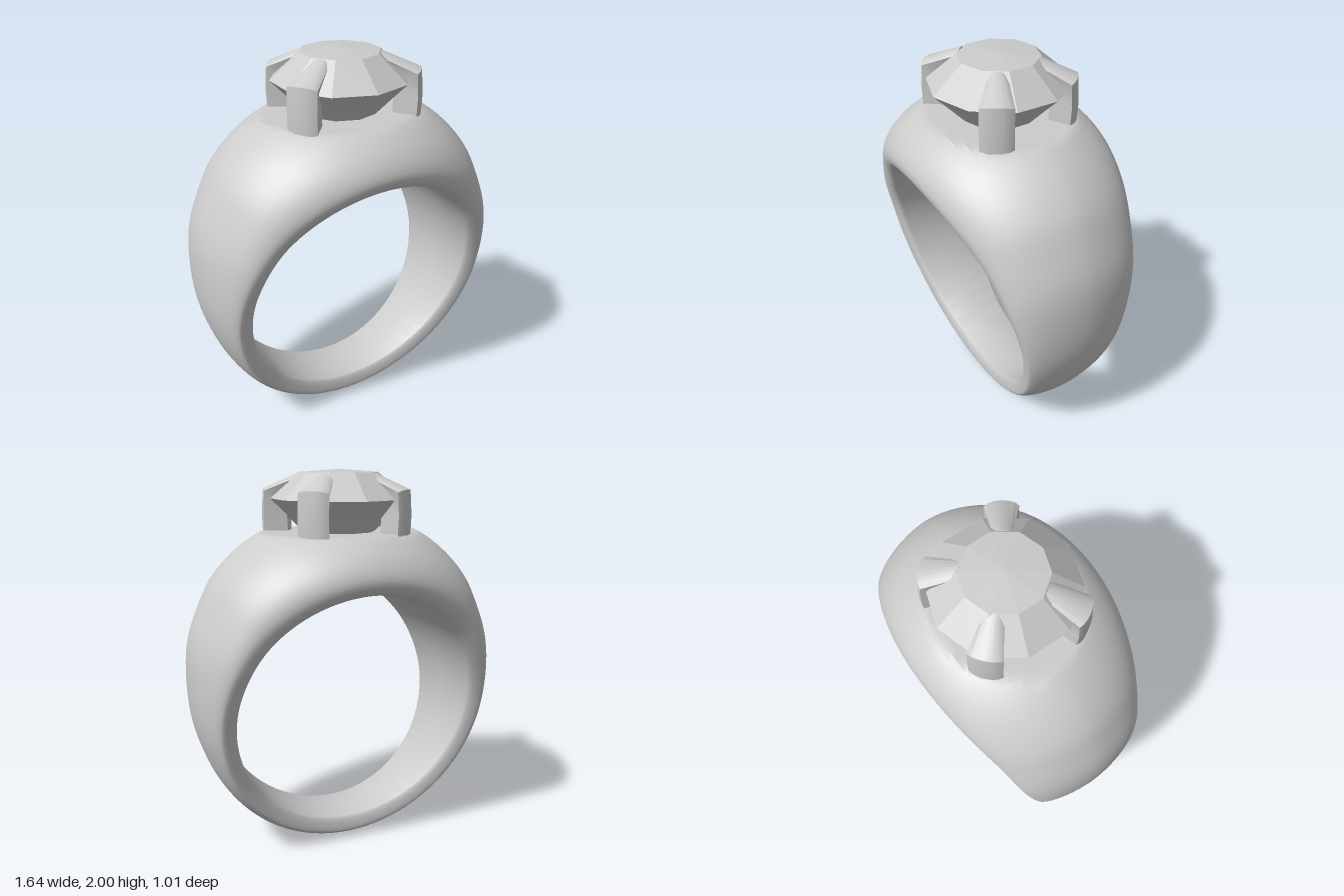
import * as THREE from 'three';
import { toCreasedNormals } from 'three/addons/utils/BufferGeometryUtils.js';

const CY = 0.78, HOLE = 0.645, EDGE = 0.72, SEAT_Y = 1.69;

// Smooth lookup through [key, value] pairs
function lookup(table, k) {
  const n = table.length;
  if (k <= table[0][0]) return table[0][1];
  if (k >= table[n - 1][0]) return table[n - 1][1];
  let i = 0;
  while (k > table[i + 1][0]) i++;
  const slope = (j) => {
    const a = table[Math.max(j - 1, 0)], b = table[Math.min(j + 1, n - 1)];
    return (b[1] - a[1]) / (b[0] - a[0]);
  };
  const [x0, y0] = table[i], [x1, y1] = table[i + 1], d = x1 - x0, t = (k - x0) / d;
  const t2 = t * t, t3 = t2 * t;
  return (2 * t3 - 3 * t2 + 1) * y0 + (t3 - 2 * t2 + t) * d * slope(i)
    + (3 * t2 - 2 * t3) * y1 + (t3 - t2) * d * slope(i + 1);
}

// Skin over closed loops of points; either joined end to end or capped
function loft(loops, joined, crease) {
  const n = loops[0].length, m = loops.length, pos = loops.flat(2), idx = [];
  for (let i = 0; i < (joined ? m : m - 1); i++) {
    for (let j = 0; j < n; j++) {
      const a = i * n + j, b = i * n + (j + 1) % n;
      const c = ((i + 1) % m) * n + j, d = ((i + 1) % m) * n + (j + 1) % n;
      idx.push(a, b, d, a, d, c);
    }
  }
  if (!joined) {
    const e = (m - 1) * n;
    for (let j = 1; j < n - 1; j++) idx.push(0, j + 1, j, e, e + j, e + j + 1);
  }
  // Turn the faces outward
  let volume = 0;
  const p = (i) => new THREE.Vector3().fromArray(pos, i * 3);
  for (let i = 0; i < idx.length; i += 3) volume += p(idx[i]).dot(p(idx[i + 1]).cross(p(idx[i + 2])));
  if (volume < 0) idx.reverse();
  const g = new THREE.BufferGeometry();
  g.setAttribute('position', new THREE.Float32BufferAttribute(pos, 3));
  g.setIndex(idx);
  return toCreasedNormals(g, crease);
}

// Band: domed section swept round the finger hole, cut flat for the seat
function bandGeometry() {
  const outer = [[0, 0.775], [40, 0.773], [72, 0.78], [90, 0.808], [102, 0.837], [116, 0.89],
    [127, 0.926], [137, 0.968], [155, 1.002], [180, 1.02]];
  const width = [[0.06, 0.16], [0.3, 0.205], [0.6, 0.262], [0.82, 0.304], [1.05, 0.36],
    [1.24, 0.404], [1.38, 0.455], [1.5, 0.507]];
  const loops = [], around = 160, domeSteps = 18, edgeSteps = 7, power = 2 / 1.75;
  for (let i = 0; i < around; i++) {
    const a = (i / around) * Math.PI * 2;
    const deg = THREE.MathUtils.radToDeg(Math.PI - Math.abs(Math.PI - a));
    const top = lookup(outer, deg);
    const w = lookup(width, CY - EDGE * Math.cos(a)), wi = w * 0.88;
    const half = [[HOLE, 0]];
    for (let k = 0; k <= edgeSteps; k++) {
      const t = (k / edgeSteps) * Math.PI / 2;
      half.push([EDGE - (EDGE - HOLE) * Math.cos(t), wi + (w - wi) * Math.sin(t)]);
    }
    for (let k = 1; k <= domeSteps; k++) {
      const t = (k / domeSteps) * Math.PI / 2;
      half.push([EDGE + (top - EDGE) * Math.sin(t) ** power,
        w * Math.max(Math.cos(t), 0) ** power]);
    }
    const mirrored = half.slice(1, -1).reverse().map(([r, z]) => [r, -z]);
    loops.push([...half, ...mirrored].map(([r, z]) =>
      [r * Math.sin(a), Math.min(CY - r * Math.cos(a), SEAT_Y), z]));
  }
  return loft(loops, true, 0.45);
}

// Prong: rounded claw along +x, bending inward over the stone
function prongGeometry() {
  // outer x, y, outward direction, half width, depth
  const stations = [
    [0.4, 1.66, 0, 0.08, 0.14],
    [0.405, 1.78, 0, 0.08, 0.14],
    [0.395, 1.905, 0.5, 0.08, 0.13],
    [0.2, 1.987, 1.15, 0.043, 0.05],
  ];
  const section = [[-1, 0.025], [-0.75, 0.011], [-0.4, 0.003], [0, 0], [0.4, 0.003],
    [0.75, 0.011], [1, 0.025]];
  return loft(stations.map(([x, y, a, h, d]) =>
    [...section, [0.5, d], [-0.5, d]].map(([v, s]) =>
      [x - s * Math.cos(a), y - s * Math.sin(a), v * h])), false, 0.6);
}

export function createModel() {
  const group = new THREE.Group();
  const metal = new THREE.MeshStandardMaterial({ color: 0xcccccc });
  const faceted = new THREE.MeshStandardMaterial({ color: 0xcccccc, flatShading: true });
  const add = (name, geometry, material) => {
    const mesh = new THREE.Mesh(geometry, material);
    mesh.name = name;
    group.add(mesh);
    return mesh;
  };

  add('band', bandGeometry(), metal);

  // Ten-sided cut stone
  const profile = [[0, 1.6], [0.15, 1.65], [0.28, 1.785], [0.35, 1.855], [0.2, 1.985], [0, 2]];
  add('gemstone', new THREE.LatheGeometry(profile.map(([x, y]) => new THREE.Vector2(x, y)), 10), faceted);

  // Two front and two back prongs
  const prong = prongGeometry();
  for (const side of [1, -1]) {
    for (const [name, deg, scale] of [['Front', -33, 1], ['Back', 48, 0.95]]) {
      const mesh = add(`prong${name}${side > 0 ? 'Left' : 'Right'}`, prong, metal);
      const a = THREE.MathUtils.degToRad(deg);
      mesh.rotation.y = side > 0 ? a : Math.PI - a;
      mesh.scale.set(scale, 1, 1);
    }
  }
  return group;
}
